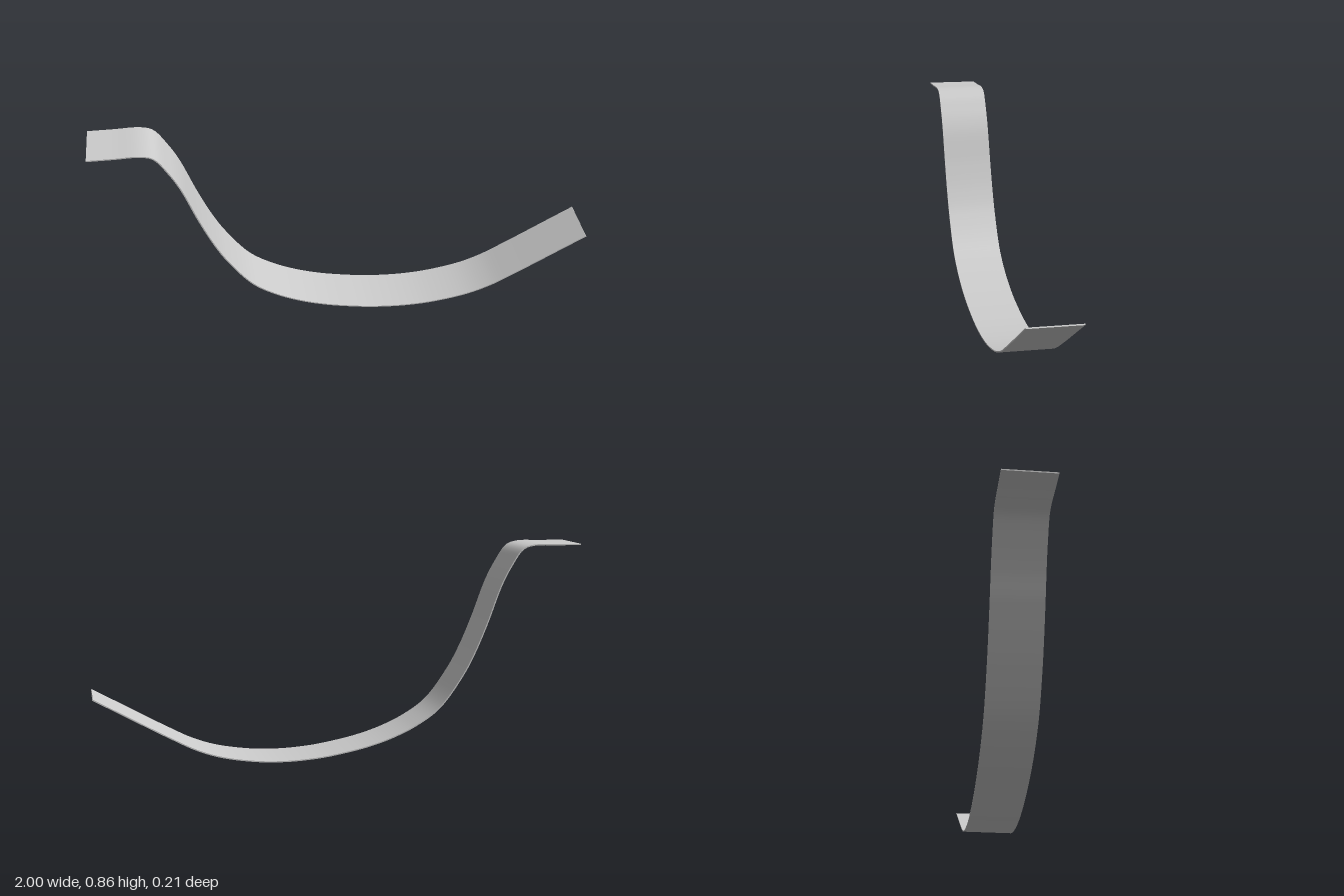
import * as THREE from 'three';
import { toCreasedNormals } from 'three/addons/utils/BufferGeometryUtils.js';

const WIDTH = 0.208;
const HALF_THICKNESS = 0.0025;

// Centre line of the strip: flat landing, steep drop, shallow dip, straight rising end
const PROFILE = [
  [-1, 0.857], [-0.9, 0.857], [-0.795, 0.857], [-0.75, 0.842], [-0.7, 0.772],
  [-0.66, 0.695], [-0.6, 0.535], [-0.55, 0.418], [-0.5, 0.325], [-0.4, 0.192],
  [-0.3, 0.123], [-0.2, 0.078], [-0.1, 0.047], [0, 0.026], [0.1, 0.011], [0.23, 0.0035],
  [0.35, 0.009], [0.5, 0.035], [0.6, 0.07], [0.7, 0.122], [0.8, 0.178], [0.9, 0.235], [0.999, 0.291],
];

export function createModel() {
  const group = new THREE.Group();
  group.name = 'curvedRamp';

  const curve = new THREE.CatmullRomCurve3(PROFILE.map(([x, y]) => new THREE.Vector3(x, y, 0)));
  const steps = 160;
  const top = [];
  const bottom = [];

  // Offset the centre line to both sides to give the strip its thickness
  for (let i = 0; i <= steps; i++) {
    const p = curve.getPointAt(i / steps);
    const t = curve.getTangentAt(i / steps);
    top.push(new THREE.Vector2(p.x - t.y * HALF_THICKNESS, p.y + t.x * HALF_THICKNESS));
    bottom.push(new THREE.Vector2(p.x + t.y * HALF_THICKNESS, p.y - t.x * HALF_THICKNESS));
  }

  // Extrude the section across the width, smooth along the run with sharp edges
  const section = new THREE.Shape([...bottom, ...top.reverse()]);
  const geometry = new THREE.ExtrudeGeometry(section, { depth: WIDTH, bevelEnabled: false });
  geometry.translate(0, 0, -WIDTH / 2);

  const strip = new THREE.Mesh(
    toCreasedNormals(geometry, Math.PI / 5),
    new THREE.MeshStandardMaterial({ color: 0xcccccc }),
  );
  strip.name = 'rampStrip';
  group.add(strip);
  return group;
}
